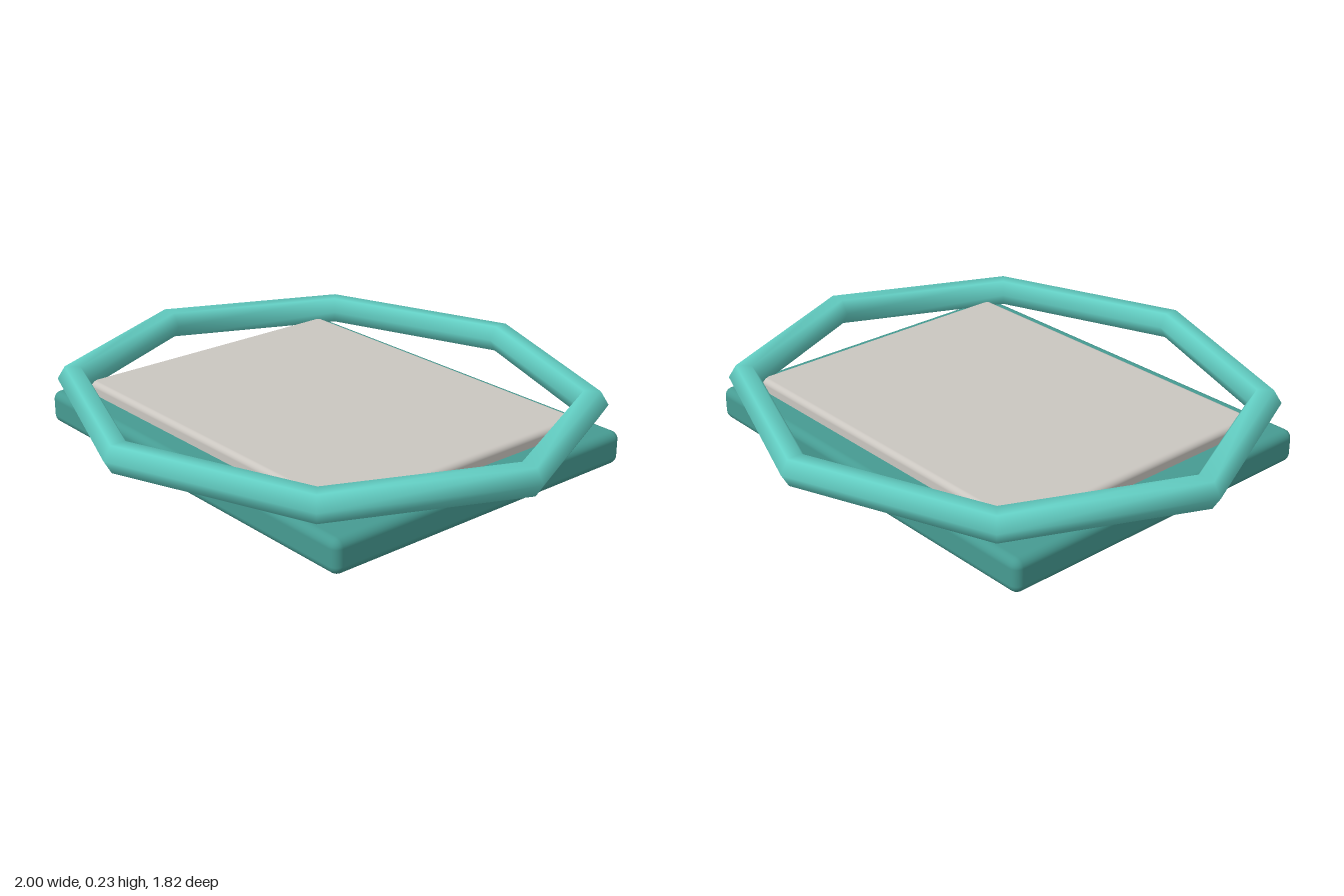
import * as THREE from 'three';
import { RoundedBoxGeometry } from 'three/addons/geometries/RoundedBoxGeometry.js';

const material = (name, color) => {
  const m = new THREE.MeshStandardMaterial({ color });
  m.name = name;
  return m;
};

export function createModel() {
  const model = new THREE.Group();
  model.name = 'framedTray';
  const darkTeal = material('darkTeal', 0x469b92);
  const lightTeal = material('lightTeal', 0x63cfc4);
  const warmGrey = material('warmGrey', 0xcac6c0);

  const add = (name, geometry, mat, y) => {
    const mesh = new THREE.Mesh(geometry, mat);
    mesh.name = name;
    mesh.position.y = y;
    model.add(mesh);
    return mesh;
  };

  // Rounded slab standing on the ground
  add('base', new RoundedBoxGeometry(1.56, 0.118, 1.264, 3, 0.03), darkTeal, 0.059);

  // Inset panel, partly sunk into the base
  add('panel', new RoundedBoxGeometry(1.36, 0.1, 1.07, 3, 0.02), warmGrey, 0.112);

  // Eight-sided ring with a hexagonal section, stretched along x
  const ring = new THREE.TorusGeometry(0.855, 0.0545, 6, 8);
  ring.rotateX(-Math.PI / 2);
  ring.scale(1.1, 1, 1);
  add('rimRing', ring, lightTeal, 0.1875);

  return model;
}
